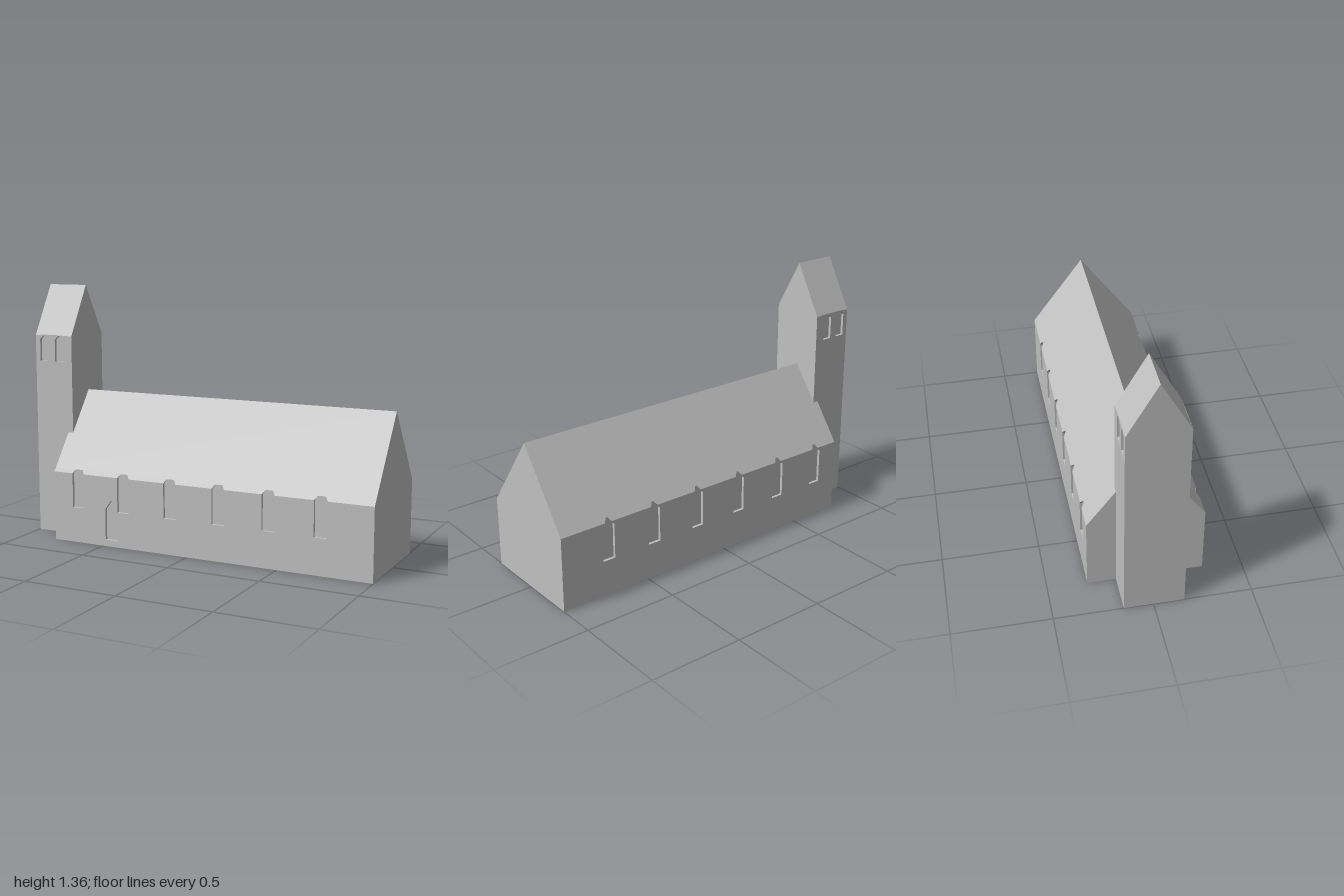
import * as THREE from 'three';

const DEPTH = 0.015; // depth of window and door recesses

// Gabled solid running along x; section points are [z, y]
function prism(x0, x1, section, material, name) {
  const shape = new THREE.Shape(section.map(([z, y]) => new THREE.Vector2(-z, y)));
  const geo = new THREE.ExtrudeGeometry(shape, { depth: x1 - x0, bevelEnabled: false });
  geo.rotateY(Math.PI / 2).translate(x0, 0, 0);
  const mesh = new THREE.Mesh(geo, material);
  mesh.name = name;
  return mesh;
}

// Pointed opening: centre, half width, sill, shoulder, peak
function pointedHole([c, w, sill, shoulder, peak]) {
  return new THREE.Path([[c - w, sill], [c - w, shoulder], [c, peak], [c + w, shoulder], [c + w, sill]]
    .map(([x, y]) => new THREE.Vector2(x, y)));
}

// Outer wall layer with a sloping top edge, tall windows cutting the eaves, and pointed holes
function wall({ x0, x1, eave, inner, windows = [], holes = [] }) {
  const W = 0.035, SILL = 0.19, SHOULDER = 0.375;
  const half = y => W - Math.max(0, y - SHOULDER) * 0.75;
  const pts = [[x0, 0], [x1, 0], [x1, inner]];
  const hi = half(inner), ho = half(eave);
  [...windows].sort((a, b) => b - a).forEach(c => pts.push(
    [c + hi, inner], [c + W, SHOULDER], [c + W, SILL],
    [c - W, SILL], [c - W, SHOULDER], [c - hi, inner]));
  pts.push([x0, inner]);
  const shape = new THREE.Shape(pts.map(([x, y]) => new THREE.Vector2(x, y)));
  shape.holes = holes.map(pointedHole);
  const geo = new THREE.ExtrudeGeometry(shape, { depth: DEPTH, bevelEnabled: false });

  // Lower the outer top edge so that it follows the roof slope
  const p = geo.attributes.position;
  for (let i = 0; i < p.count; i++) {
    if (p.getZ(i) < DEPTH / 2 || p.getY(i) < inner - 0.001) continue;
    p.setY(i, eave);
    const c = windows.find(v => Math.abs(p.getX(i) - v) < hi + 0.001);
    if (c !== undefined) p.setX(i, c + Math.sign(p.getX(i) - c) * ho);
  }
  geo.computeVertexNormals();
  return geo;
}

// Core volume plus a recessed wall layer on the front and on the back
function building(name, o, material) {
  const group = new THREE.Group();
  group.name = name;
  const [ridgeZ, ridgeY] = o.ridge;
  const rise = (z, eave) => eave + DEPTH * (ridgeY - eave) / Math.abs(z - ridgeZ);
  const innerF = rise(o.front, o.frontEave), innerB = rise(o.back, o.backEave);
  const zf = o.front - DEPTH, zb = o.back + DEPTH;
  group.add(prism(o.x0, o.x1,
    [[zf, 0], [zb, 0], [zb, innerB], [ridgeZ, ridgeY], [zf, innerF]], material, name + 'Core'));

  const front = new THREE.Mesh(wall({
    x0: o.x0, x1: o.x1, eave: o.frontEave, inner: innerF,
    windows: o.windows, holes: [...o.holes, ...o.doors],
  }), material);
  front.name = name + 'FrontWall';
  front.position.z = zf;

  const back = new THREE.Mesh(wall({
    x0: -o.x1, x1: -o.x0, eave: o.backEave, inner: innerB,
    windows: o.windows.map(x => -x), holes: o.holes.map(([x, ...rest]) => [-x, ...rest]),
  }), material);
  back.name = name + 'BackWall';
  back.rotation.y = Math.PI;
  back.position.z = zb;

  group.add(front, back);
  return group;
}

export function createModel() {
  const stone = new THREE.MeshStandardMaterial({ color: 0xc0c0c0 });
  stone.name = 'grey stone';
  const model = new THREE.Group();
  model.name = 'church';

  // Long hall with six windows each side and one front door
  model.add(building('nave', {
    x0: -0.8, x1: 1, front: 0.298, back: -0.297, frontEave: 0.375, backEave: 0.395,
    ridge: [-0.007, 0.785],
    windows: Array.from({ length: 6 }, (_, i) => -0.65 + i * 0.276),
    holes: [],
    doors: [[-0.447, 0.036, 0.035, 0.2, 0.25]],
  }, stone));

  // Bell tower with a pair of pointed openings each side
  model.add(building('tower', {
    x0: -1, x1: -0.77, front: 0.156, back: -0.15, frontEave: 1.09, backEave: 1.09,
    ridge: [0.003, 1.36],
    windows: [],
    holes: [-0.945, -0.85].map(x => [x, 0.027, 0.95, 1.068, 1.094]),
    doors: [],
  }, stone));

  return model;
}
